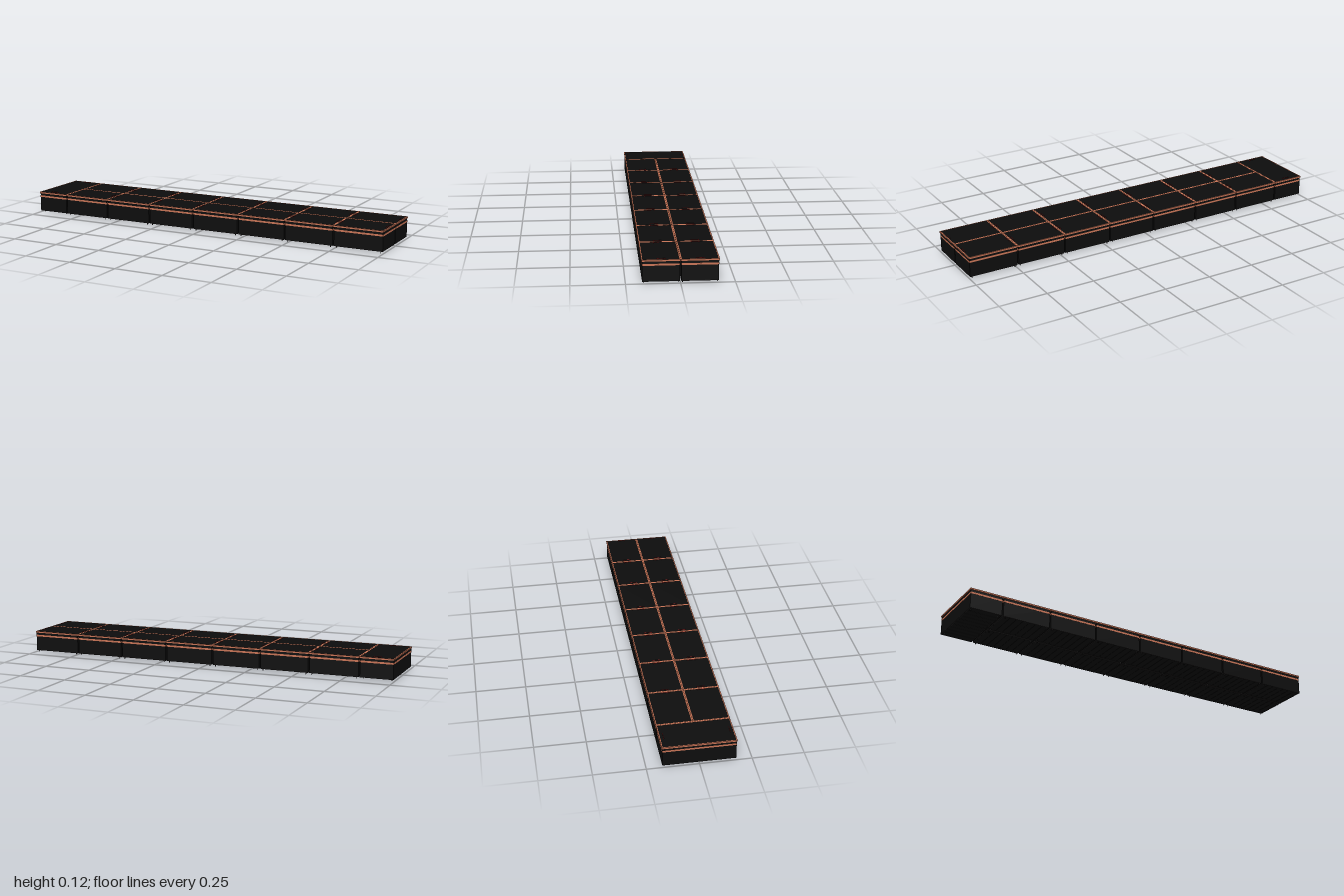
import * as THREE from 'three';

const black = new THREE.MeshStandardMaterial({ color: 0x0d0d0d });
const dark = new THREE.MeshStandardMaterial({ color: 0x1c1a1a });
const copper = new THREE.MeshStandardMaterial({ color: 0xc87456 });
const red = new THREE.MeshStandardMaterial({ color: 0x8c2020 });

// Box given by its lower and upper corners
function block(parent, name, material, [x0, y0, z0], [x1, y1, z1]) {
  const mesh = new THREE.Mesh(new THREE.BoxGeometry(x1 - x0, y1 - y0, z1 - z0), material);
  mesh.position.set((x0 + x1) / 2, (y0 + y1) / 2, (z0 + z1) / 2);
  mesh.name = name;
  parent.add(mesh);
}

// Four walls following the inside of a w x d rectangle
function ring(parent, name, material, w, d, y0, y1, t) {
  const x = w / 2, z = d / 2;
  for (const s of [-1, 1]) {
    const zc = s * (z - t / 2), xc = s * (x - t / 2);
    block(parent, name, material, [-x, y0, zc - t / 2], [x, y1, zc + t / 2]);
    block(parent, name, material, [xc - t / 2, y0, -z + t], [xc + t / 2, y1, z - t]);
  }
}

// Low handle: a grip bar on two short posts
function handle(parent, x, z, alongX) {
  const group = new THREE.Group();
  group.name = 'handle';
  block(group, 'grip', red, [-0.02, 0.115, -0.001], [0.02, 0.117, 0.001]);
  for (const s of [-0.018, 0.018]) {
    block(group, 'gripPost', red, [s - 0.002, 0.112, -0.001], [s + 0.002, 0.115, 0.001]);
  }
  group.position.set(x, 0, z);
  if (!alongX) group.rotation.y = Math.PI / 2;
  parent.add(group);
}

// One storage box with slatted floor, trim band, framed lid and feet
function storageBox(w, d, slatsAlongX) {
  const box = new THREE.Group();
  box.name = 'storageBox';
  const bw = w - 0.007, bd = d - 0.007;
  ring(box, 'wall', black, bw, bd, 0.012, 0.106, 0.004);
  ring(box, 'trimBand', copper, bw + 0.001, bd + 0.001, 0.085, 0.094, 0.003);
  ring(box, 'bottomRail', dark, bw, bd, 0.009, 0.012, 0.005);

  // Floor slats
  const span = (slatsAlongX ? bd : bw) - 0.01;
  const count = Math.round(span / 0.034);
  const pitch = span / count;
  for (let i = 0; i < count; i++) {
    const a = -span / 2 + i * pitch + 0.001, b = a + pitch - 0.002;
    const half = (slatsAlongX ? bw : bd) / 2 - 0.005;
    if (slatsAlongX) block(box, 'floorSlat', black, [-half, 0.01, a], [half, 0.013, b]);
    else block(box, 'floorSlat', black, [a, 0.01, -half], [b, 0.013, half]);
  }

  // Lid panel inside a coloured frame
  ring(box, 'lidFrame', copper, w - 0.001, d - 0.001, 0.106, 0.1135, 0.005);
  block(box, 'lidPanel', black, [-w / 2 + 0.005, 0.107, -d / 2 + 0.005], [w / 2 - 0.005, 0.113, d / 2 - 0.005]);

  // Tapered feet
  for (const x of [-1, 1]) for (const z of [-1, 1]) {
    const foot = new THREE.Mesh(new THREE.CylinderGeometry(0.0025, 0.0015, 0.01, 10), dark);
    foot.name = 'foot';
    foot.position.set(x * (bw / 2 - 0.012), 0.005, z * (bd / 2 - (slatsAlongX ? 0.02 : 0.006)));
    box.add(foot);
  }
  return box;
}

export function createModel() {
  const model = new THREE.Group();
  model.name = 'storagePlatform';
  const depth = 0.356, endWidth = 0.176, columns = 7;
  const width = (2 - endWidth) / columns;

  // Full-depth box at one end
  const end = storageBox(endWidth, depth, true);
  end.name = 'endBox';
  end.position.x = -1 + endWidth / 2;
  for (const s of [-1, 1]) handle(end, 0, s * 0.157, true);
  model.add(end);

  // Two rows of boxes back to back
  for (let i = 0; i < columns; i++) {
    for (const s of [-1, 1]) {
      const box = storageBox(width, depth / 2, false);
      box.position.set(-1 + endWidth + (i + 0.5) * width, 0, s * depth / 4);
      handle(box, width / 2 - 0.012, 0, false);
      if (i > 0) handle(box, -width / 2 + 0.012, 0, false);
      model.add(box);
    }
  }
  return model;
}
